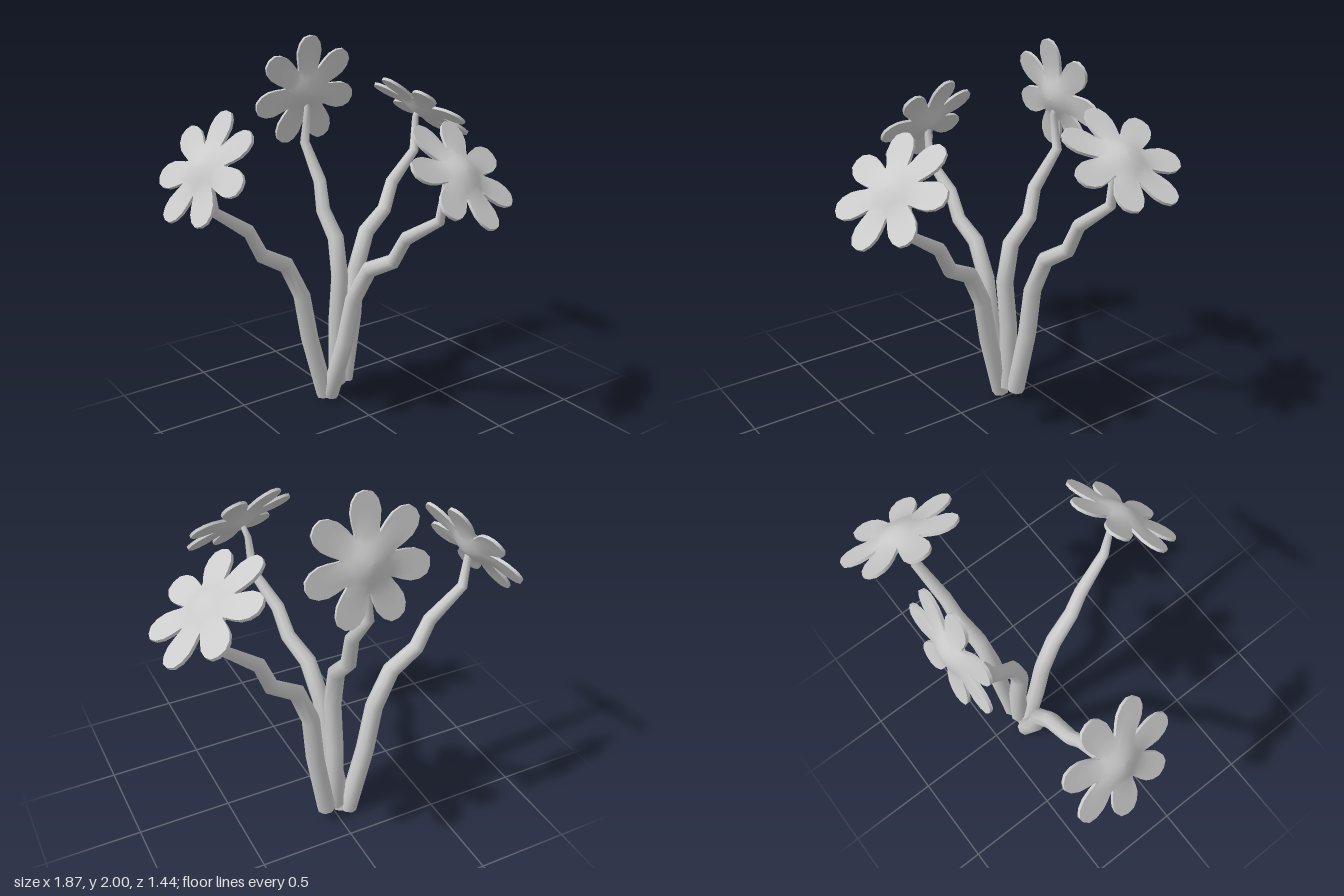
import * as THREE from 'three';
import { mergeGeometries } from 'three/addons/utils/BufferGeometryUtils.js';

const material = new THREE.MeshStandardMaterial({ color: 0xcccccc, side: THREE.DoubleSide });

// Smooth surface from rows of points, closed around the columns
function loft(rows, cols, point) {
  const positions = [], index = [];
  for (let i = 0; i < rows; i++) {
    for (let j = 0; j < cols; j++) positions.push(...point(i, j));
  }
  for (let i = 0; i < rows - 1; i++) {
    for (let j = 0; j < cols; j++) {
      const k = (j + 1) % cols;
      const a = i * cols + j, b = a + cols, c = i * cols + k, d = c + cols;
      index.push(a, b, c, b, d, c);
    }
  }
  const geometry = new THREE.BufferGeometry();
  geometry.setAttribute('position', new THREE.Float32BufferAttribute(positions, 3));
  geometry.setIndex(index);
  geometry.computeVertexNormals();
  return geometry;
}

// Crooked, tapering stem: outward offset, height, radius
const STEM = [
  [0, 0, 0.05], [0.12, 0.37, 0.049], [0.18, 0.63, 0.047], [0.285, 0.82, 0.045],
  [0.44, 0.9, 0.04], [0.52, 1.04, 0.036], [0.72, 1.17, 0.027], [0.75, 1.36, 0.018],
  [0.79, 1.41, 0.015],
];

function stemGeometry() {
  const sides = 8;
  return loft(STEM.length, sides, (i, j) => {
    const [x, y, r] = STEM[i];
    const p = STEM[Math.max(i - 1, 0)], q = STEM[Math.min(i + 1, STEM.length - 1)];
    const t = new THREE.Vector2(q[0] - p[0], q[1] - p[1]).normalize();
    const a = (j / sides) * Math.PI * 2;
    return [x + t.y * Math.cos(a) * r, y - t.x * Math.cos(a) * r, Math.sin(a) * r];
  });
}

// Half a petal outline: angle from the petal's axis in degrees, radius
const PETAL = [[0, 0.31], [7, 0.303], [13, 0.275], [18, 0.235], [21, 0.19], [23, 0.155], [25.71, 0.13]];
const PETALS = 7;

function bloomGeometry() {
  const outline = [];
  for (let p = 0; p < PETALS; p++) {
    const axis = (p * 360) / PETALS;
    for (let k = PETAL.length - 1; k > 0; k--) outline.push([axis - PETAL[k][0], PETAL[k][1]]);
    for (let k = 0; k < PETAL.length - 1; k++) outline.push([axis + PETAL[k][0], PETAL[k][1]]);
  }
  const half = 0.008, core = 0.115;
  const rings = [0, 0.25, 0.5, 0.75, 1, 1.33, 1.66, 2];
  const at = (j, ring, y) => {
    const [deg, edge] = outline[j];
    const a = THREE.MathUtils.degToRad(deg);
    const r = ring <= 1 ? core * ring : core + (edge - core) * (ring - 1);
    return [r * Math.cos(a), y(r), -r * Math.sin(a)];
  };
  // Swollen centre that runs smoothly into the petals
  const swell = (r, h) => half + h * Math.max(0, 1 - (r / 0.16) ** 2) ** 2;
  const n = rings.length, cols = outline.length;
  return mergeGeometries([
    loft(n, cols, (i, j) => at(j, rings[i], (r) => swell(r, 0.04))),
    loft(n, cols, (i, j) => at(j, rings[n - 1 - i], (r) => -swell(r, 0.045))),
    loft(2, cols, (i, j) => at(j, 2, () => (i ? -half : half))),
  ]);
}

// base of stem, heading (x, z), inward lean in degrees,
// bloom centre, facing direction and the tip of one petal
const FLOWERS = [
  { name: 'frontFlower', base: [-0.05, 0.02, -0.31], heading: [0.22, 0.79], lean: 0,
    centre: [0.17, 1.445, 0.495], facing: [0.18, 0.68, 0.7], tip: [0.2, 1.21, 0.72] },
  { name: 'backFlower', base: [0.005, 0.075, -0.32], heading: [0, -1], lean: 19.4,
    centre: [0.01, 1.7, -0.595], facing: [0, 0.23, -0.97], tip: [0, 2, -0.52] },
  { name: 'leftFlower', base: [0.06, 0.075, -0.33], heading: [0.6, -0.1], lean: 7,
    centre: [0.68, 1.565, -0.43], facing: [0.58, 0.81, 0], tip: [0.725, 1.53, -0.115] },
  { name: 'rightFlower', base: [-0.07, 0.02, -0.33], heading: [-0.68, 0.05], lean: 3,
    centre: [-0.765, 1.445, -0.28], facing: [-0.82, 0.57, 0.14], tip: [-0.73, 1.41, 0.015] },
];

export function createModel() {
  const model = new THREE.Group();
  model.name = 'flowerBunch';
  const stemShape = stemGeometry(), bloomShape = bloomGeometry();

  for (const f of FLOWERS) {
    const flower = new THREE.Group();
    flower.name = f.name;

    const stem = new THREE.Mesh(stemShape, material);
    stem.name = 'stem';
    stem.position.set(...f.base);
    stem.rotation.set(0, Math.atan2(-f.heading[1], f.heading[0]), THREE.MathUtils.degToRad(f.lean));

    const bloom = new THREE.Mesh(bloomShape, material);
    bloom.name = 'bloom';
    const centre = new THREE.Vector3(...f.centre);
    const up = new THREE.Vector3(...f.facing).normalize();
    const along = new THREE.Vector3(...f.tip).sub(centre).projectOnPlane(up).normalize();
    const across = new THREE.Vector3().crossVectors(along, up);
    bloom.position.copy(centre);
    bloom.quaternion.setFromRotationMatrix(new THREE.Matrix4().makeBasis(along, up, across));

    flower.add(stem, bloom);
    model.add(flower);
  }
  return model;
}
